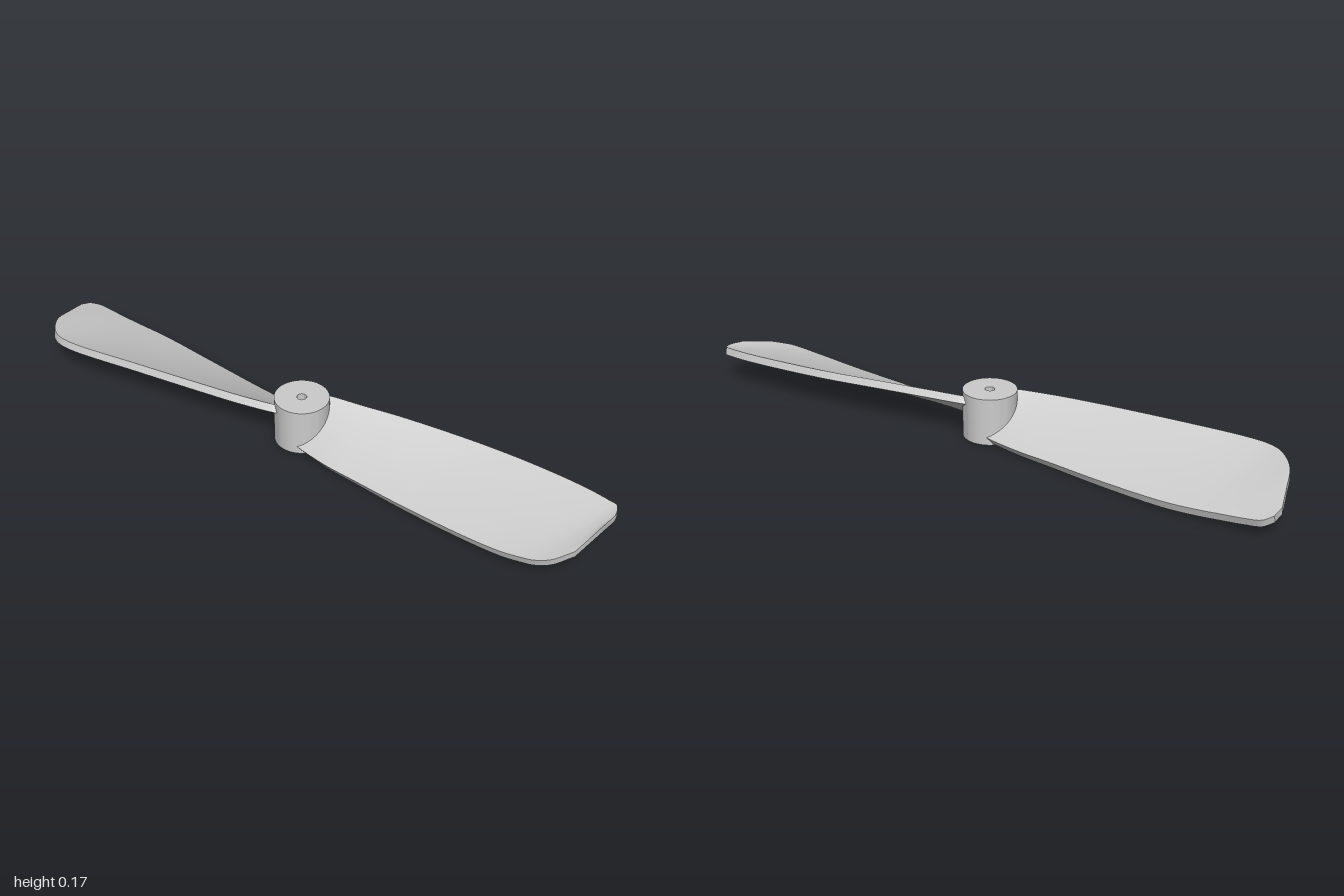
import * as THREE from 'three';
import { toCreasedNormals } from 'three/addons/utils/BufferGeometryUtils.js';

const material = new THREE.MeshStandardMaterial({ color: 0xcccccc });
const HUB = { x: -0.02, z: 0.03, radius: 0.095, bore: 0.017, height: 0.17 };
const THICKNESS = 0.028;

// Matching points on the raised and lowered edges, from hub to tip (x, y, z)
const frontHigh = [
  [0.05, 0.155, 0.03], [0.07, 0.156, 0.045], [0.155, 0.156, 0.155], [0.24, 0.156, 0.265],
  [0.40, 0.15, 0.49], [0.505, 0.145, 0.66], [0.585, 0.139, 0.81], [0.62, 0.135, 0.895],
  [0.627, 0.134, 0.92], [0.60, 0.13, 0.95], [0.55, 0.125, 0.968],
];
const frontLow = [
  [-0.08, 0.03, 0.085], [-0.075, 0.028, 0.11], [-0.035, 0.025, 0.23], [0.015, 0.025, 0.345],
  [0.095, 0.027, 0.53], [0.19, 0.033, 0.735], [0.25, 0.042, 0.855], [0.285, 0.05, 0.91],
  [0.31, 0.057, 0.945], [0.35, 0.07, 0.978], [0.42, 0.09, 0.997],
];
const rearHigh = [
  [-0.09, 0.155, 0.03], [-0.11, 0.156, 0.015], [-0.20, 0.156, -0.09], [-0.29, 0.155, -0.21],
  [-0.45, 0.15, -0.435], [-0.60, 0.142, -0.655], [-0.63, 0.14, -0.725], [-0.63, 0.138, -0.78],
  [-0.595, 0.128, -0.86], [-0.53, 0.105, -0.925], [-0.465, 0.082, -0.985],
];
const rearLow = [
  [0.04, 0.03, -0.025], [0.035, 0.028, -0.05], [-0.01, 0.025, -0.18], [-0.06, 0.025, -0.30],
  [-0.14, 0.025, -0.50], [-0.23, 0.03, -0.71], [-0.285, 0.036, -0.81], [-0.32, 0.042, -0.87],
  [-0.36, 0.05, -0.94], [-0.39, 0.058, -0.985], [-0.425, 0.07, -0.999],
];

// Twisted plate lofted between two edge curves
function bladeGeometry(high, low) {
  const curve = (pts) => new THREE.CatmullRomCurve3(pts.map((p) => new THREE.Vector3(...p)));
  const highCurve = curve(high), lowCurve = curve(low);
  const rows = 60, cols = 8, ring = 2 * (cols + 1);
  const span = highCurve.getPoint(0.6).add(lowCurve.getPoint(0.6))
    .sub(highCurve.getPoint(0.1)).sub(lowCurve.getPoint(0.1)).setY(0).normalize();
  const positions = [], index = [];

  for (let i = 0; i <= rows; i++) {
    const h = highCurve.getPoint(i / rows), l = lowCurve.getPoint(i / rows);
    const drop = span.clone().cross(h.clone().sub(l)).normalize().multiplyScalar(-THICKNESS);
    for (let j = 0; j <= cols; j++) {
      positions.push(...l.clone().lerp(h, j / cols).toArray());
    }
    for (let j = cols; j >= 0; j--) {
      positions.push(...l.clone().lerp(h, j / cols).add(drop).toArray());
    }
  }
  for (let i = 0; i < rows; i++) {
    for (let j = 0; j < ring; j++) {
      const a = i * ring + j, d = i * ring + ((j + 1) % ring);
      index.push(a, a + ring, d + ring, a, d + ring, d);
    }
  }
  // Tip face
  const end = rows * ring;
  for (let j = 0; j < cols; j++) {
    const t0 = end + j, t1 = t0 + 1, b0 = end + ring - 1 - j, b1 = b0 - 1;
    index.push(t0, b0, t1, t1, b0, b1);
  }
  const geometry = new THREE.BufferGeometry();
  geometry.setAttribute('position', new THREE.Float32BufferAttribute(positions, 3));
  geometry.setIndex(index);
  return toCreasedNormals(geometry, Math.PI / 5);
}

// Cylinder with a through bore
function hubGeometry() {
  const { radius, bore, height } = HUB;
  const profile = [[bore, 0], [radius, 0], [radius, height], [bore, height], [bore, 0]];
  const geometry = new THREE.LatheGeometry(profile.map((p) => new THREE.Vector2(...p)), 64);
  return toCreasedNormals(geometry, Math.PI / 5);
}

export function createModel() {
  const group = new THREE.Group();
  group.name = 'propeller';
  const add = (name, geometry) => {
    const mesh = new THREE.Mesh(geometry, material);
    mesh.name = name;
    group.add(mesh);
    return mesh;
  };
  add('hub', hubGeometry()).position.set(HUB.x, 0, HUB.z);
  add('frontBlade', bladeGeometry(frontHigh, frontLow));
  add('rearBlade', bladeGeometry(rearHigh, rearLow));
  return group;
}
